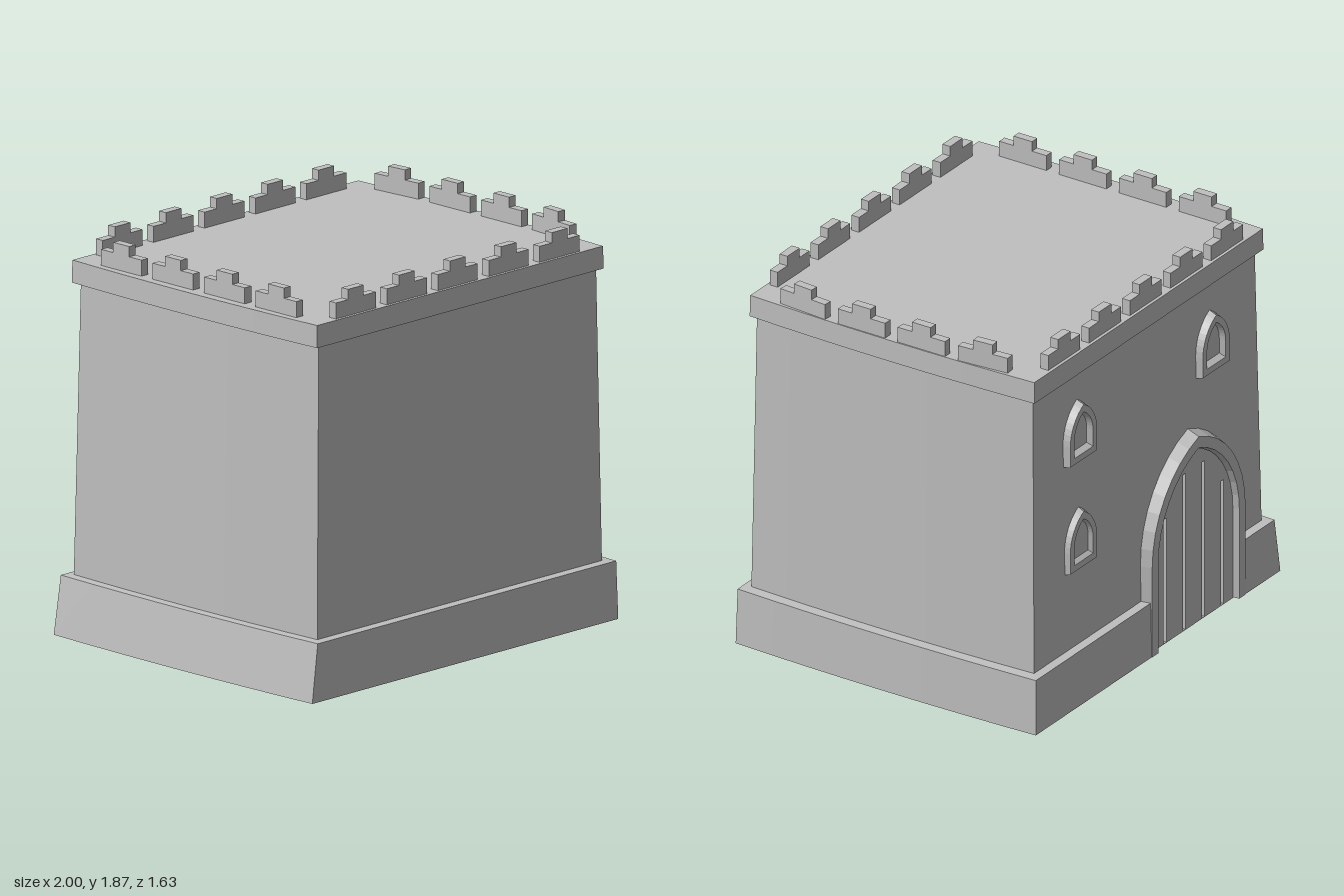
import * as THREE from 'three';

const stone = new THREE.MeshStandardMaterial({ color: 0xc0c0c0, side: THREE.DoubleSide });
stone.name = 'grey stone';
const DOOR_X = -0.325;

function mesh(name, geometry, parent) {
  const m = new THREE.Mesh(geometry, stone);
  m.name = name;
  parent.add(m);
  return m;
}

// Joins successive rows of points with flat-shaded quads
function loft(rows) {
  const pos = [];
  for (let r = 0; r < rows.length - 1; r++) {
    const a = rows[r], b = rows[r + 1];
    for (let i = 0; i < a.length - 1; i++) {
      for (const p of [a[i], a[i + 1], b[i + 1], a[i], b[i + 1], b[i]]) pos.push(...p);
    }
  }
  const g = new THREE.BufferGeometry();
  g.setAttribute('position', new THREE.Float32BufferAttribute(pos, 3));
  g.computeVertexNormals();
  return g;
}

// Rectangular outline with gently bowed sides, starting and ending at the doorway
function ring(y, x0, x1, z0, z1, gap = 0, bow = 0.018) {
  const pts = [[DOOR_X - gap, y, z0]];
  const n = 8;
  for (let i = 0; i <= n; i++) {
    const t = i / n;
    pts.push([x0 + bow * (2 * t - 1) ** 2, y, z0 + (z1 - z0) * t]);
  }
  for (let i = 0; i <= n; i++) {
    const t = i / n;
    pts.push([x1 - bow * (2 * t - 1) ** 2, y, z1 + (z0 - z1) * t]);
  }
  pts.push([DOOR_X + gap, y, z0]);
  return pts;
}

// Pointed arch from the right foot over the apex to the left foot
function arch(w, y0, spring, apex, z, n = 8) {
  const rise = apex - spring;
  const R = (w * w + rise * rise) / (2 * w);
  const end = Math.asin(rise / R);
  const right = [[w, y0, z]];
  for (let i = 0; i <= n; i++) {
    const a = (end * i) / n;
    right.push([w - R + R * Math.cos(a), spring + R * Math.sin(a), z]);
  }
  const left = right.slice(0, -1).reverse().map(([x, y]) => [-x, y, z]);
  return [...right, ...left];
}

const closed = (pts) => [...pts, pts[0]];
const toShape = (pts) => new THREE.Shape(pts.map(([x, y]) => new THREE.Vector2(x, y)));

// Arched window with a bevelled surround, a sill and a blind pane
function makeWindow(x, y, wall) {
  const g = new THREE.Group();
  g.name = 'archedWindow';
  const inner = arch(0.066, 0.055, 0.13, 0.235, wall + 0.004);
  mesh('windowFrame', loft([
    closed(arch(0.116, 0, 0.11, 0.3, wall - 0.012)),
    closed(arch(0.108, 0.008, 0.11, 0.282, 0.785)),
    closed(arch(0.075, 0.04, 0.12, 0.245, 0.785)),
    closed(inner),
  ]), g);
  mesh('windowPane', new THREE.ShapeGeometry(toShape(inner)), g).position.z = wall + 0.004;
  g.rotation.y = Math.PI;
  g.position.set(x, y, 0);
  return g;
}

// Arched gate with grooved planks inside a bevelled surround
function makeDoor() {
  const g = new THREE.Group();
  g.name = 'gate';
  const inner = arch(0.315, 0, 0.45, 0.89, 0.768);
  mesh('gateFrame', loft([
    arch(0.395, 0, 0.45, 0.98, 0.75),
    arch(0.375, 0, 0.45, 0.955, 0.815),
    arch(0.325, 0, 0.45, 0.9, 0.815),
    inner,
  ]), g);
  mesh('gateBacking', new THREE.ShapeGeometry(toShape(inner)), g).position.z = 0.769;
  const planks = toShape(inner);
  for (const [x, top] of [[-0.23, 0.63], [-0.077, 0.79], [0.077, 0.79], [0.23, 0.63]]) {
    const groove = new THREE.Path();
    groove.moveTo(x - 0.011, 0.003);
    groove.lineTo(x - 0.011, top);
    groove.lineTo(x + 0.011, top);
    groove.lineTo(x + 0.011, 0.003);
    groove.closePath();
    planks.holes.push(groove);
  }
  mesh('gatePlanks', new THREE.ExtrudeGeometry(planks, { depth: 0.017, bevelEnabled: false }), g)
    .position.z = 0.77;
  g.rotation.y = Math.PI;
  g.position.x = DOOR_X;
  return g;
}

// Stepped battlement block
function makeMerlon(x, z, angle) {
  const s = new THREE.Shape();
  const half = [[0.128, 1.74], [0.128, 1.82], [0.05, 1.82], [0.05, 1.868]];
  half.forEach(([px, py], i) => (i ? s.lineTo(px, py) : s.moveTo(px, py)));
  [...half].reverse().forEach(([px, py]) => s.lineTo(-px, py));
  s.closePath();
  const geo = new THREE.ExtrudeGeometry(s, { depth: 0.042, bevelEnabled: false });
  geo.translate(0, 0, -0.021);
  const m = new THREE.Mesh(geo, stone);
  m.name = 'merlon';
  m.position.set(x, 0, z);
  m.rotation.y = angle;
  return m;
}

export function createModel() {
  const model = new THREE.Group();
  model.name = 'castleKeep';

  // Hollow plinth, open at the gate, with a ledge running in to the walls
  mesh('plinth', loft([
    ring(0, -1, 1, -0.813, 0.815, 0.35),
    ring(0.272, -0.96, 0.992, -0.808, 0.81, 0.35),
    ring(0.275, -0.92, 0.943, -0.765, 0.768, 0.35),
  ]), model);

  // Tapering walls
  const wallTop = ring(1.64, -0.895, 0.922, -0.745, 0.752);
  mesh('walls', loft([ring(0.275, -0.92, 0.943, -0.765, 0.768), wallTop]), model);

  // Overhanging cornice and flat roof
  const roofEdge = ring(1.745, -0.926, 0.945, -0.768, 0.773);
  mesh('corniceAndRoof', loft([
    wallTop,
    ring(1.64, -0.928, 0.947, -0.77, 0.775),
    roofEdge,
    roofEdge.map(() => [0.01, 1.745, 0]),
  ]), model);

  // Battlements
  const battlements = new THREE.Group();
  battlements.name = 'battlements';
  for (let i = -2; i <= 2; i++) {
    const x = 0.01 + i * 0.327;
    battlements.add(makeMerlon(x, 0.737, 0), makeMerlon(x, -0.732, 0));
  }
  for (const k of [-1.5, -0.5, 0.5, 1.5]) {
    const z = k * 0.325;
    const outer = Math.abs(k) > 1;
    battlements.add(makeMerlon(-0.86, z, Math.PI / 2));
    battlements.add(makeMerlon(outer ? 0.906 : 0.917, z,
      Math.PI / 2 - (outer ? Math.sign(k) * 0.08 : 0)));
  }
  model.add(battlements);

  // Gate and windows in the rear wall
  model.add(makeDoor());
  model.add(makeWindow(0.555, 1.2, 0.752));
  model.add(makeWindow(0.555, 0.66, 0.76));
  model.add(makeWindow(-0.51, 1.2, 0.752));
  return model;
}
